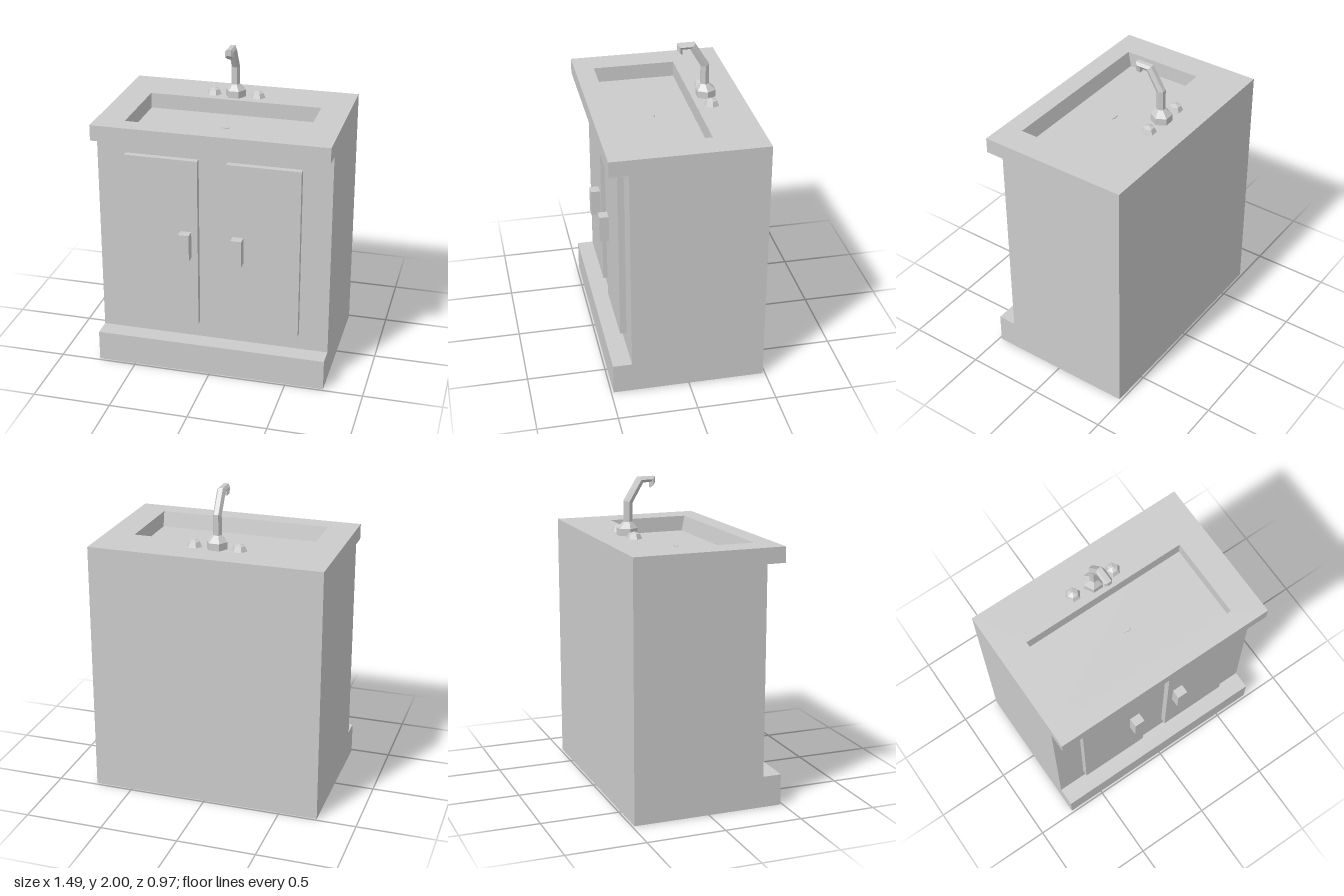
import * as THREE from 'three';

const mat = new THREE.MeshStandardMaterial({ color: 0xcccccc, flatShading: true });

function add(parent, name, geo, x = 0, y = 0, z = 0) {
  const mesh = new THREE.Mesh(geo, mat);
  mesh.name = name;
  mesh.position.set(x, y, z);
  parent.add(mesh);
  return mesh;
}

// Box given by its minimum and maximum corners
function block(parent, name, [x0, y0, z0], [x1, y1, z1]) {
  return add(parent, name, new THREE.BoxGeometry(x1 - x0, y1 - y0, z1 - z0),
    (x0 + x1) / 2, (y0 + y1) / 2, (z0 + z1) / 2);
}

const polygon = (pts) => new THREE.Shape(pts.map(([a, b]) => new THREE.Vector2(a, b)));

// Side profile of [z, y] points, extruded along x and centred
function sideExtrude(pts, width) {
  const geo = new THREE.ExtrudeGeometry(polygon(pts.map(([z, y]) => [-z, y])),
    { depth: width, bevelEnabled: false });
  return geo.translate(0, 0, -width / 2).rotateY(Math.PI / 2);
}

// Hexagonal loft; each station is [outer z, outer y, inner z, inner y, half width]
function hexLoft(stations) {
  const pos = [], idx = [], n = 6;
  for (const [zo, yo, zi, yi, r] of stations) {
    for (let k = 0; k < n; k++) {
      const a = (k / n) * Math.PI * 2;
      const t = Math.sin(a) / Math.sin(Math.PI / 3) / 2;
      pos.push(r * Math.cos(a), (yo + yi) / 2 + (yo - yi) * t, (zo + zi) / 2 + (zo - zi) * t);
    }
  }
  const last = (stations.length - 1) * n;
  for (let i = 0; i < last; i += n) {
    for (let k = 0; k < n; k++) {
      const a = i + k, b = i + (k + 1) % n;
      idx.push(a, b, b + n, a, b + n, a + n);
    }
  }
  for (let k = 1; k < n - 1; k++) idx.push(0, k + 1, k, last, last + k, last + k + 1);
  const geo = new THREE.BufferGeometry();
  geo.setAttribute('position', new THREE.Float32BufferAttribute(pos, 3));
  geo.setIndex(idx);
  const flat = geo.toNonIndexed();
  flat.computeVertexNormals();
  return flat;
}

export function createModel() {
  const model = new THREE.Group();
  model.name = 'washstand';
  const W = 0.745, D = 0.485, face = 0.365;

  // Cabinet with projecting plinth; its top is the basin floor
  add(model, 'cabinet', sideExtrude(
    [[-D, 0], [D, 0], [D, 0.2], [face, 0.2], [face, 1.54], [-D, 1.54]], W * 2));

  // Countertop with the basin opening
  const top = polygon([[-W, -D], [W, -D], [W, D], [-W, D]]);
  top.holes.push(polygon([[-0.56, -0.36], [-0.56, 0.17], [0.56, 0.17], [0.56, -0.36]]));
  const topGeo = new THREE.ExtrudeGeometry(top, { depth: 0.1, bevelEnabled: false });
  add(model, 'countertop', topGeo.rotateX(-Math.PI / 2), 0, 1.54, 0);

  // Sloping front wall of the basin and the drain
  add(model, 'basinFrontSlope', sideExtrude([[0.34, 1.54], [0.36, 1.54], [0.36, 1.64]], 1.12));
  const drain = add(model, 'drain', new THREE.CylinderGeometry(0.026, 0.028, 0.008, 8), 0, 1.543, 0.075);
  drain.scale.z = 0.4;

  // Doors and pulls
  for (const s of [-1, 1]) {
    const door = new THREE.Group();
    door.name = s < 0 ? 'rightDoor' : 'leftDoor';
    model.add(door);
    const x = s * 0.325, h = s * 0.168;
    block(door, 'doorPanel', [x - 0.233, 0.31, face], [x + 0.233, 1.435, 0.405]);
    block(door, 'doorPull', [h - 0.035, 0.782, 0.405], [h + 0.035, 0.957, 0.465]);
  }

  // Faucet: hexagonal base, neck and hooked spout
  const tap = new THREE.Group();
  tap.name = 'faucet';
  tap.position.x = -0.018;
  model.add(tap);
  add(tap, 'faucetBase', hexLoft([
    [-0.32, 1.64, -0.205, 1.64, 0.066],
    [-0.32, 1.685, -0.205, 1.685, 0.066],
    [-0.28, 1.725, -0.23, 1.725, 0.028],
  ]));
  add(tap, 'faucetSpout', hexLoft([
    [-0.28, 1.72, -0.23, 1.72, 0.028],
    [-0.28, 1.855, -0.23, 1.84, 0.028],
    [-0.19, 2.0, -0.157, 1.965, 0.028],
    [-0.08, 2.0, -0.11, 1.965, 0.028],
    [-0.08, 1.96, -0.11, 1.93, 0.026],
  ]));

  // Domed tap knobs
  for (const s of [-1, 1]) {
    const dome = new THREE.SphereGeometry(0.05, 6, 2, 0, Math.PI * 2, 0, Math.PI / 2);
    const knob = add(tap, s < 0 ? 'rightKnob' : 'leftKnob', dome, s * 0.145, 1.64, -0.266);
    knob.scale.y = 0.9;
  }
  return model;
}
